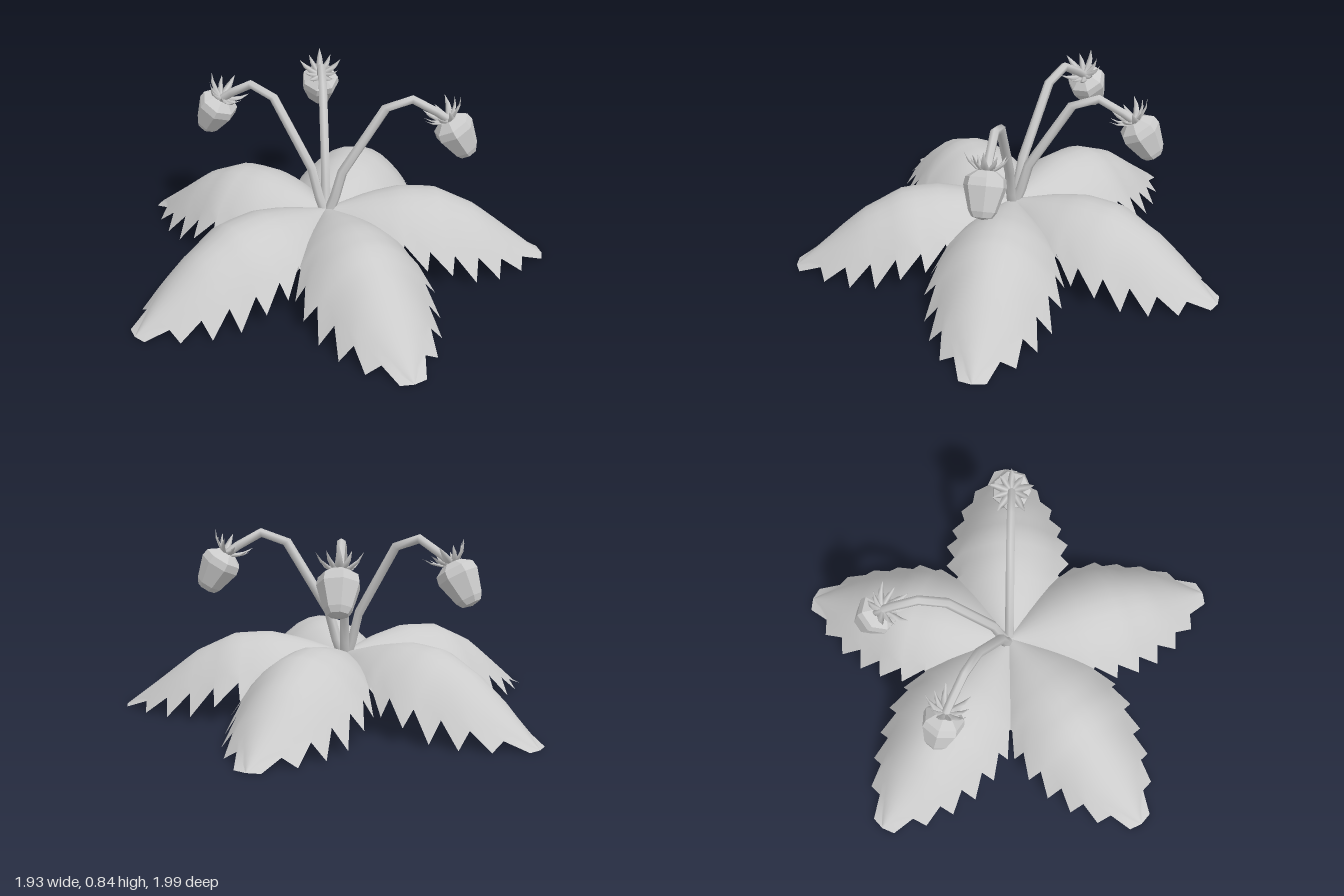
import * as THREE from 'three';

const material = new THREE.MeshStandardMaterial({ color: 0xcccccc });
const thin = new THREE.MeshStandardMaterial({ color: 0xcccccc, side: THREE.DoubleSide });
const faceted = new THREE.MeshStandardMaterial({ color: 0xcccccc, flatShading: true });

// Piecewise linear lookup in a list of [x, value] pairs
function lookup(table, x) {
  for (let i = 1; i < table.length; i++) {
    const [x0, v0] = table[i - 1], [x1, v1] = table[i];
    if (x <= x1) return v0 + (v1 - v0) * (x - x0) / (x1 - x0);
  }
  return table[table.length - 1][1];
}

// Skin a list of equally long rows of points
function skin(rows, closed = false) {
  const n = rows[0].length, index = [];
  for (let r = 0; r < rows.length - 1; r++) {
    for (let c = 0; c < (closed ? n : n - 1); c++) {
      const a = r * n + c, b = r * n + (c + 1) % n;
      index.push(a, b, a + n, b, b + n, a + n);
    }
  }
  const geometry = new THREE.BufferGeometry();
  geometry.setAttribute('position', new THREE.Float32BufferAttribute(rows.flat(2), 3));
  geometry.setIndex(index);
  geometry.computeVertexNormals();
  return geometry;
}

// Leaf along +x: arched midrib, drooping sides, forward-pointing teeth
const midrib = [[0, 0.27], [0.2, 0.33], [0.36, 0.362], [0.52, 0.35], [0.7, 0.265], [0.87, 0.13], [1.04, 0]];
const halfWidth = [[0, 0.01], [0.1, 0.11], [0.2, 0.2], [0.32, 0.265], [0.45, 0.295], [0.6, 0.275], [0.8, 0.2], [0.93, 0.105], [1.04, 0]];
const droop = [[0, 0], [0.2, 0.12], [0.4, 0.22], [0.65, 0.22], [0.85, 0.1], [1.04, 0]];

function leafGeometry() {
  const columns = [-1, -0.8, -0.6, -0.4, -0.2, 0, 0.2, 0.4, 0.6, 0.8, 1];
  const rows = [], count = 18;
  for (let r = 0; r <= count; r++) {
    const s = 1.04 * r / count;
    rows.push(columns.map(column => {
      let u = column, along = s;
      if (Math.abs(u) === 1 && r > 3 && r < count) {
        const tooth = r % 2 === 1;
        u *= tooth ? 1.08 : 0.9;
        if (tooth) along += 0.045;
      }
      const y = lookup(midrib, along) - lookup(droop, s) * u * u;
      return [along, Math.max(0, y), u * lookup(halfWidth, s)];
    }));
  }
  // Reverse each row so that the upper side is the front
  return skin(rows.map(row => row.reverse()));
}

// Bent stem in the x-y plane, with a mitred ring at each bend
function stemGeometry() {
  const path = [[0.01, 0.25], [0.04, 0.33], [0.075, 0.46], [0.27, 0.78], [0.39, 0.822], [0.5, 0.76], [0.555, 0.72]];
  const sides = 6;
  const rows = path.map(([x, y], i) => {
    const before = path[Math.max(0, i - 1)], after = path[Math.min(path.length - 1, i + 1)];
    const angle = Math.atan2(after[1] - before[1], after[0] - before[0]);
    const radius = 0.025 - 0.001 * i;
    return Array.from({ length: sides }, (_, k) => {
      const a = k / sides * Math.PI * 2, p = radius * Math.cos(a);
      return [x - Math.sin(angle) * p, y + Math.cos(angle) * p, radius * Math.sin(a)];
    });
  });
  return skin(rows, true);
}

// Faceted hanging berry, its neck at the origin
function berryGeometry() {
  const profile = [[0, -0.2], [0.045, -0.19], [0.062, -0.165], [0.094, -0.06], [0.088, -0.025], [0.045, 0.004], [0, 0.01]];
  return new THREE.LatheGeometry(profile.map(([x, y]) => new THREE.Vector2(x, y)), 7);
}

// One pointed sepal along +x, curling upwards
function sepalGeometry() {
  const sections = [[0, 0.0, 0.008], [0.045, 0.012, 0.018], [0.08, 0.038, 0.012], [0.105, 0.075, 0.0005]];
  return skin(sections.map(([x, y, w]) => [[x, y, w], [x, y + w * 0.6, 0], [x, y, -w], [x, y - w * 0.3, 0]]), true);
}

function addMesh(parent, name, geometry, mat) {
  const mesh = new THREE.Mesh(geometry, mat);
  mesh.name = name;
  parent.add(mesh);
  return mesh;
}

export function createModel() {
  const model = new THREE.Group();
  model.name = 'berryPlant';
  const plant = new THREE.Group();
  plant.name = 'plant';
  plant.position.set(-0.08, 0, 0.01);
  model.add(plant);

  // Rosette of five leaves
  const leaf = leafGeometry();
  for (let i = 0; i < 5; i++) {
    addMesh(plant, 'leaf', leaf, thin).rotation.y = THREE.MathUtils.degToRad(3 + 72 * i);
  }

  // Three stems, each with a berry and its crown of sepals
  const stem = stemGeometry(), berry = berryGeometry(), sepal = sepalGeometry();
  for (const degrees of [1, 94, 153]) {
    const branch = new THREE.Group();
    branch.name = 'fruitBranch';
    branch.rotation.y = THREE.MathUtils.degToRad(degrees);
    plant.add(branch);
    addMesh(branch, 'stem', stem, thin);

    const fruit = new THREE.Group();
    fruit.name = 'fruit';
    fruit.position.set(0.553, 0.722, 0);
    fruit.rotation.z = THREE.MathUtils.degToRad(31);
    branch.add(fruit);
    addMesh(fruit, 'berry', berry, faceted);
    for (let k = 0; k < 10; k++) {
      const mesh = addMesh(fruit, 'sepal', sepal, thin);
      mesh.rotation.y = k / 10 * Math.PI * 2;
      mesh.scale.setScalar(k % 2 ? 0.85 : 1);
    }
  }
  return model;
}
